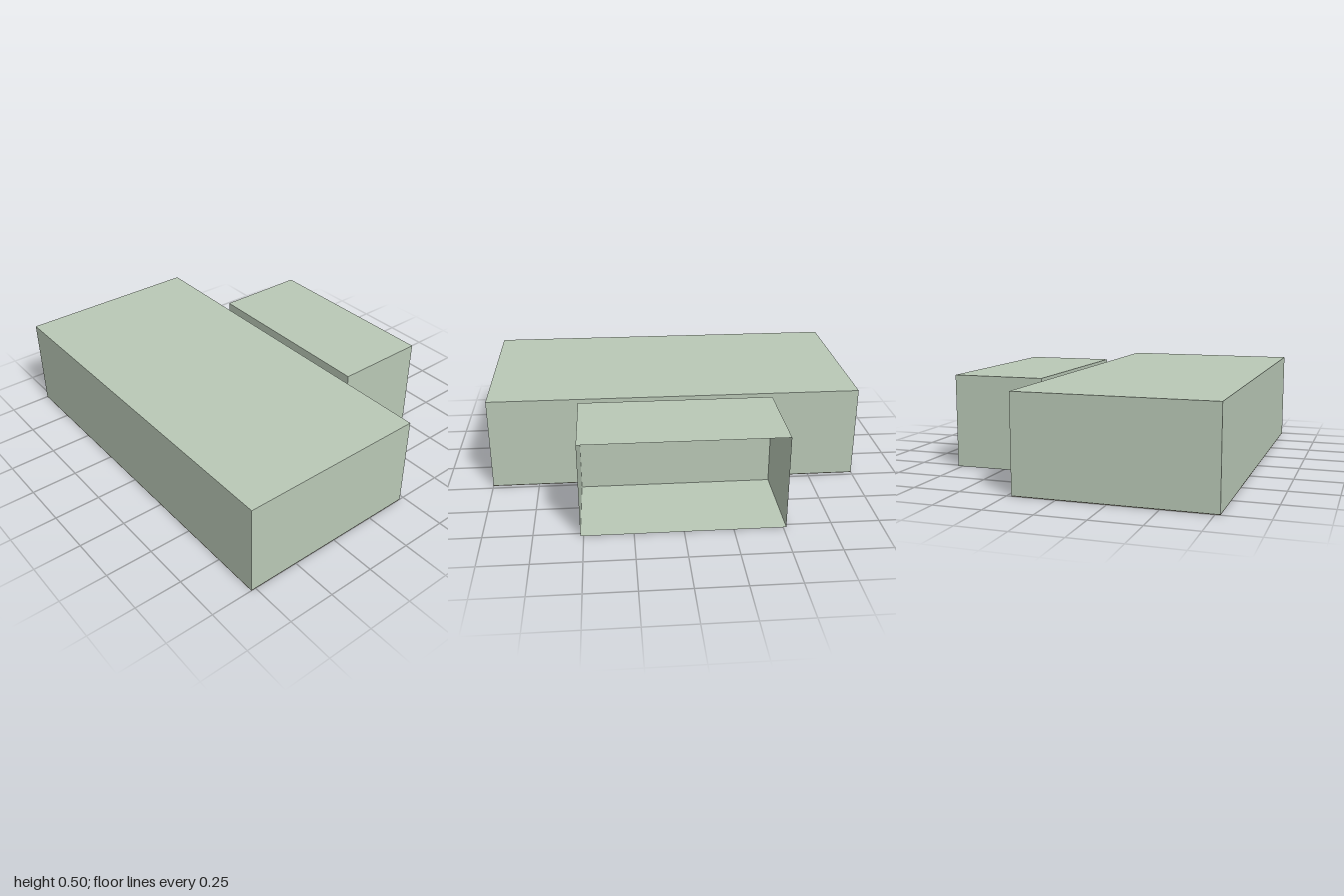
import * as THREE from 'three';

const green = new THREE.MeshStandardMaterial({ color: 0xb9c8b6 });
const greenThin = new THREE.MeshStandardMaterial({ color: 0xb9c8b6, side: THREE.DoubleSide });
const brown = new THREE.MeshStandardMaterial({ color: 0x73624a, side: THREE.DoubleSide });

// Box given by its minimum and maximum corners
function boxBetween([x0, y0, z0], [x1, y1, z1]) {
  return new THREE.BoxGeometry(x1 - x0, y1 - y0, z1 - z0)
    .translate((x0 + x1) / 2, (y0 + y1) / 2, (z0 + z1) / 2);
}

export function createModel() {
  const model = new THREE.Group();
  const add = (name, geometry, material) => {
    const mesh = new THREE.Mesh(geometry, material);
    mesh.name = name;
    model.add(mesh);
  };

  // Large closed room, with a brown floor just under it
  add('mainRoom', boxBetween([-0.775, 0.002, -1], [0.225, 0.5, 1]), green);
  add('mainRoomFloor',
    new THREE.PlaneGeometry(1, 2).rotateX(Math.PI / 2).translate(-0.275, 0, 0), brown);

  // Small thin-walled room, open on its outer (+x) side:
  // the first six indices of a box are its +x face
  const side = boxBetween([0.275, 0, -0.516], [0.775, 0.5, 0.516]);
  side.setIndex(Array.from(side.index.array).slice(6));
  side.clearGroups();
  add('sideRoom', side, greenThin);

  // Short link between the two rooms
  add('connector', boxBetween([0.225, 0.015, -0.09], [0.275, 0.36, 0.09]), green);

  return model;
}
